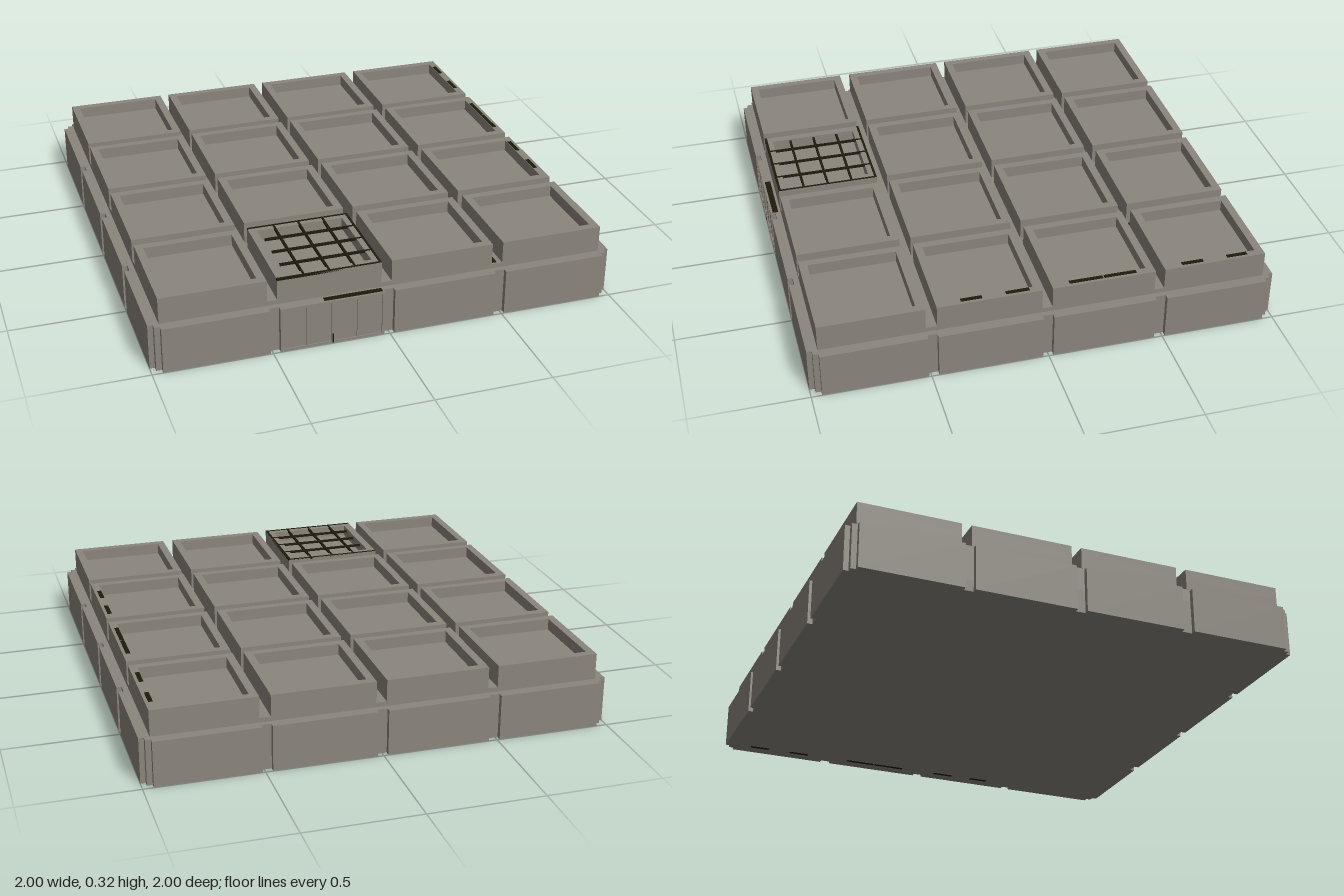
import * as THREE from 'three';

const stone = new THREE.MeshStandardMaterial({ color: 0x8b867d });
stone.name = 'stone grey';
const dark = new THREE.MeshStandardMaterial({ color: 0x1e1b0c });
dark.name = 'dark gap';

const centres = [-0.7325, -0.2465, 0.2415, 0.7325];
const CELL = 0.444, TOP = 0.315, RIM = 0.034, FLOOR = 0.265;

// Box given by its lower and upper corners
function box(parent, name, material, [x0, y0, z0], [x1, y1, z1]) {
  const mesh = new THREE.Mesh(new THREE.BoxGeometry(x1 - x0, y1 - y0, z1 - z0), material);
  mesh.position.set((x0 + x1) / 2, (y0 + y1) / 2, (z0 + z1) / 2);
  mesh.name = name;
  parent.add(mesh);
  return mesh;
}

// Square ring extruded upward
function rimGeometry() {
  const h = CELL / 2, i = h - RIM;
  const shape = new THREE.Shape([[-h, -h], [h, -h], [h, h], [-h, h]].map(p => new THREE.Vector2(...p)));
  shape.holes.push(new THREE.Path([[-i, -i], [-i, i], [i, i], [i, -i]].map(p => new THREE.Vector2(...p))));
  return new THREE.ExtrudeGeometry(shape, { depth: TOP - FLOOR, bevelEnabled: false }).rotateX(-Math.PI / 2);
}

export function createModel() {
  const model = new THREE.Group();
  model.name = 'trayPlatform';

  // Foundation with raised channel floor
  box(model, 'base', stone, [-0.978, 0, -0.978], [0.978, 0.2, 0.978]);
  box(model, 'channelFloor', stone, [-0.954, 0.2, -0.954], [0.954, 0.22, 0.954]);

  // Grid of shallow square trays
  const rim = rimGeometry();
  const h = CELL / 2;
  for (const x of centres) for (const z of centres) {
    const tray = new THREE.Group();
    tray.name = 'tray';
    tray.position.set(x, 0, z);
    box(tray, 'trayBody', stone, [-h, 0.22, -h], [h, FLOOR, h]);
    const ring = new THREE.Mesh(rim, stone);
    ring.name = 'trayRim';
    ring.position.y = FLOOR;
    tray.add(ring);
    model.add(tray);
  }

  // Wall panels on all four sides, one per tray
  for (let side = 0; side < 4; side++) {
    const wall = new THREE.Group();
    wall.name = 'wallPanels';
    wall.rotation.y = side * Math.PI / 2;
    centres.forEach((c, i) => {
      const inset = side === 0 && i === 1 ? 0.006 : 0;
      box(wall, 'panel', stone, [c - h, 0, 0.978], [c + h, 0.2, 1 - inset]);
    });
    model.add(wall);
  }

  // Framed front panel under the grated tray
  const gx = centres[1], gz = centres[3];
  const frame = new THREE.Group();
  frame.name = 'frontFrame';
  for (let i = 0; i <= 4; i++) {
    const x = gx - h + 0.005 + i * (CELL - 0.01) / 4;
    box(frame, 'frameUpright', stone, [x - 0.005, 0, 0.993], [x + 0.005, 0.2, 1]);
  }
  for (const y of [0, 0.19]) box(frame, 'frameRail', stone, [gx - h, y, 0.993], [gx + h, y + 0.01, 0.9995]);
  box(frame, 'frameGap', dark, [gx - 0.003, 0.003, 0.994], [gx + 0.004, 0.045, 1.001]);
  model.add(frame);

  // Grate over one tray
  const grate = new THREE.Group();
  grate.name = 'grate';
  const b = 0.005;
  for (let i = 0; i <= 4; i++) {
    const t = -h + b + i * (CELL - 2 * b) / 4;
    if (i > 0) box(grate, 'grateBar', dark, [gx + t - b, TOP - 0.008, gz - h], [gx + t + b, TOP + 0.001, gz + h]);
    const start = i % 4 ? 0.045 : 0;
    box(grate, 'grateCrossBar', dark, [gx - h + start, TOP - 0.008, gz + t - b], [gx + h, TOP + 0.0015, gz + t + b]);
  }
  model.add(grate);

  // Narrow slots through the right-hand rims, open below as well
  const slots = [[-0.88, -0.79], [-0.685, -0.59], [-0.39, -0.25], [-0.245, -0.1], [0.07, 0.17], [0.27, 0.36]];
  for (const [z0, z1] of slots) {
    box(model, 'rimSlot', dark, [0.922, TOP - 0.003, z0], [0.941, TOP + 0.001, z1]);
    box(model, 'underSlot', dark, [0.922, -0.001, z0], [0.941, 0.003, z1]);
  }

  // Dark gaps in the channels: x0, x1, z0, z1
  const gaps = [
    [0.475, 0.5, -0.55, -0.51], [0.48, 0.5, -0.07, -0.03], [0.465, 0.508, 0.185, 0.235],
    [0.466, 0.508, 0.35, 0.455], [0.466, 0.488, 0.505, 0.65], [0.466, 0.49, 0.9, 0.945],
    [-0.497, -0.49, 0.6, 0.72], [-0.497, -0.49, 0.83, 0.87],
  ];
  for (const [x0, x1, z0, z1] of gaps) box(model, 'channelGap', dark, [x0, 0.218, z0], [x1, 0.221, z1]);
  box(model, 'ledgeGap', dark, [-0.28, 0.198, 0.965], [-0.03, 0.2015, 0.99]);

  return model;
}
